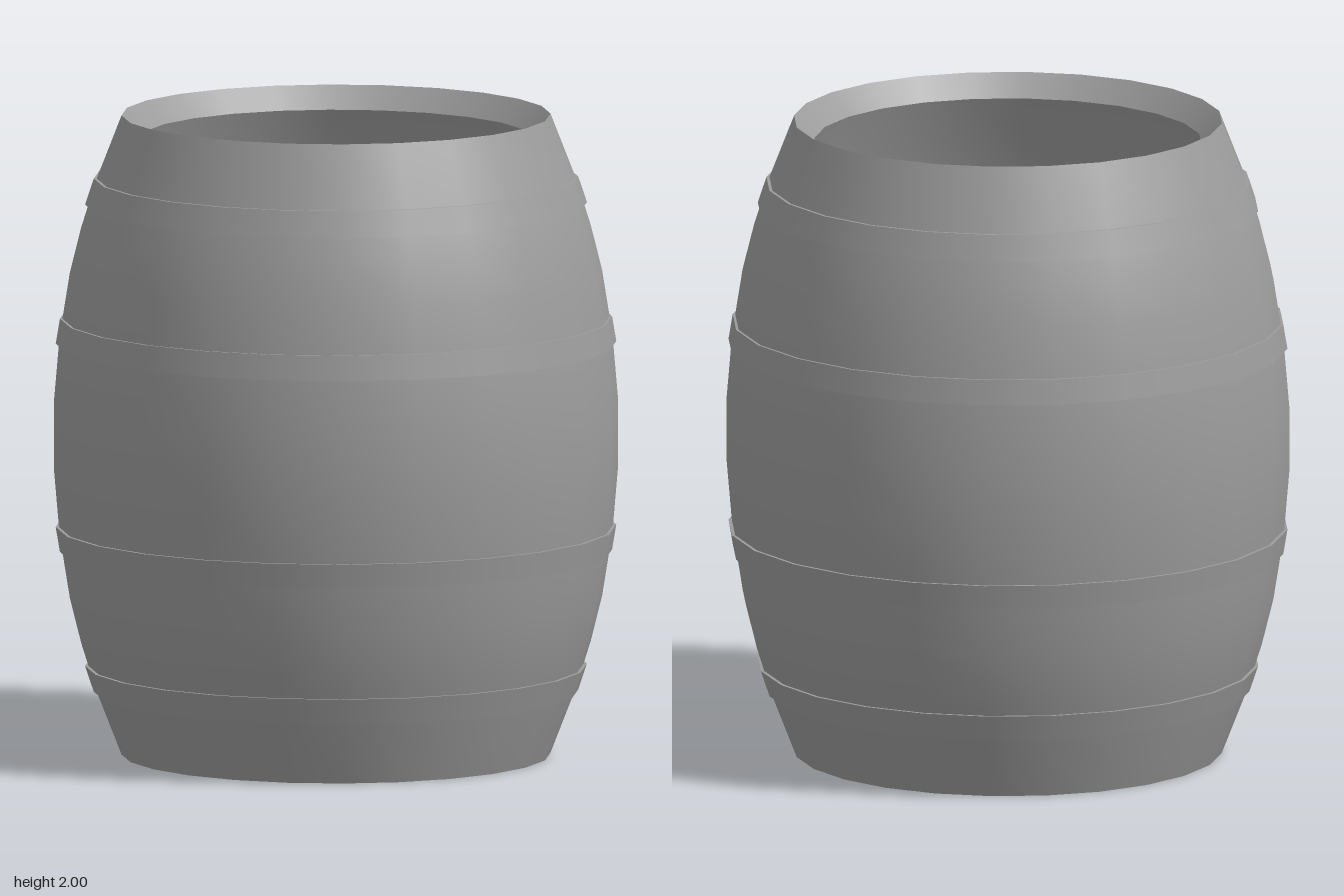
import * as THREE from 'three';
import { mergeGeometries } from 'three/addons/utils/BufferGeometryUtils.js';

const SIDES = 24;
const darkGrey = new THREE.MeshStandardMaterial({ color: 0x9c9c9c });

// Revolves several [radius, height] runs; each run is smooth, with a sharp edge between runs
function revolve(name, runs) {
  const parts = runs.map(run =>
    new THREE.LatheGeometry(run.map(([r, y]) => new THREE.Vector2(r, y)), SIDES));
  const mesh = new THREE.Mesh(mergeGeometries(parts), darkGrey);
  mesh.name = name;
  return mesh;
}

// Mirrors the upper half of a profile about mid height, listed from bottom to top
function mirrored(upper) {
  return [...upper.map(([r, y]) => [r, 2 - y]), ...[...upper].reverse()];
}

export function createModel() {
  const barrel = new THREE.Group();
  barrel.name = 'barrel';

  // Bulging staves, upper half from rim to belly
  const outer = mirrored([
    [0.665, 2], [0.743, 1.8], [0.79, 1.65], [0.825, 1.51], [0.857, 1.31], [0.875, 1.1],
  ]);
  const inner = mirrored([
    [0.602, 1.93], [0.672, 1.77], [0.725, 1.61], [0.762, 1.46], [0.79, 1.28], [0.805, 1.09],
  ]).reverse();

  barrel.add(revolve('outerStaves', [outer]));
  barrel.add(revolve('bevelledRim', [[[0.665, 2], [0.602, 1.93]]]));
  barrel.add(revolve('innerWall', [inner]));
  barrel.add(revolve('innerFloor', [[[0.602, 0.07], [0, 0.07]]]));
  barrel.add(revolve('base', [[[0, 0], [0.665, 0]]]));

  // Hoops: [end nearer the rim, end nearer the belly], one pair above and one below the middle
  const hoops = [
    ['endHoop', [0.751, 1.803], [0.778, 1.722]],
    ['bellyHoop', [0.856, 1.365], [0.869, 1.287]],
  ];
  for (const [name, a, b] of hoops) {
    for (const upper of [true, false]) {
      const place = ([r, y]) => [r, upper ? y : 2 - y];
      const [low, high] = upper ? [place(b), place(a)] : [place(a), place(b)];
      const sunk = ([r, y]) => [r - 0.04, y];
      barrel.add(revolve((upper ? 'upper ' : 'lower ') + name,
        [[sunk(low), low], [low, high], [high, sunk(high)]]));
    }
  }
  return barrel;
}
